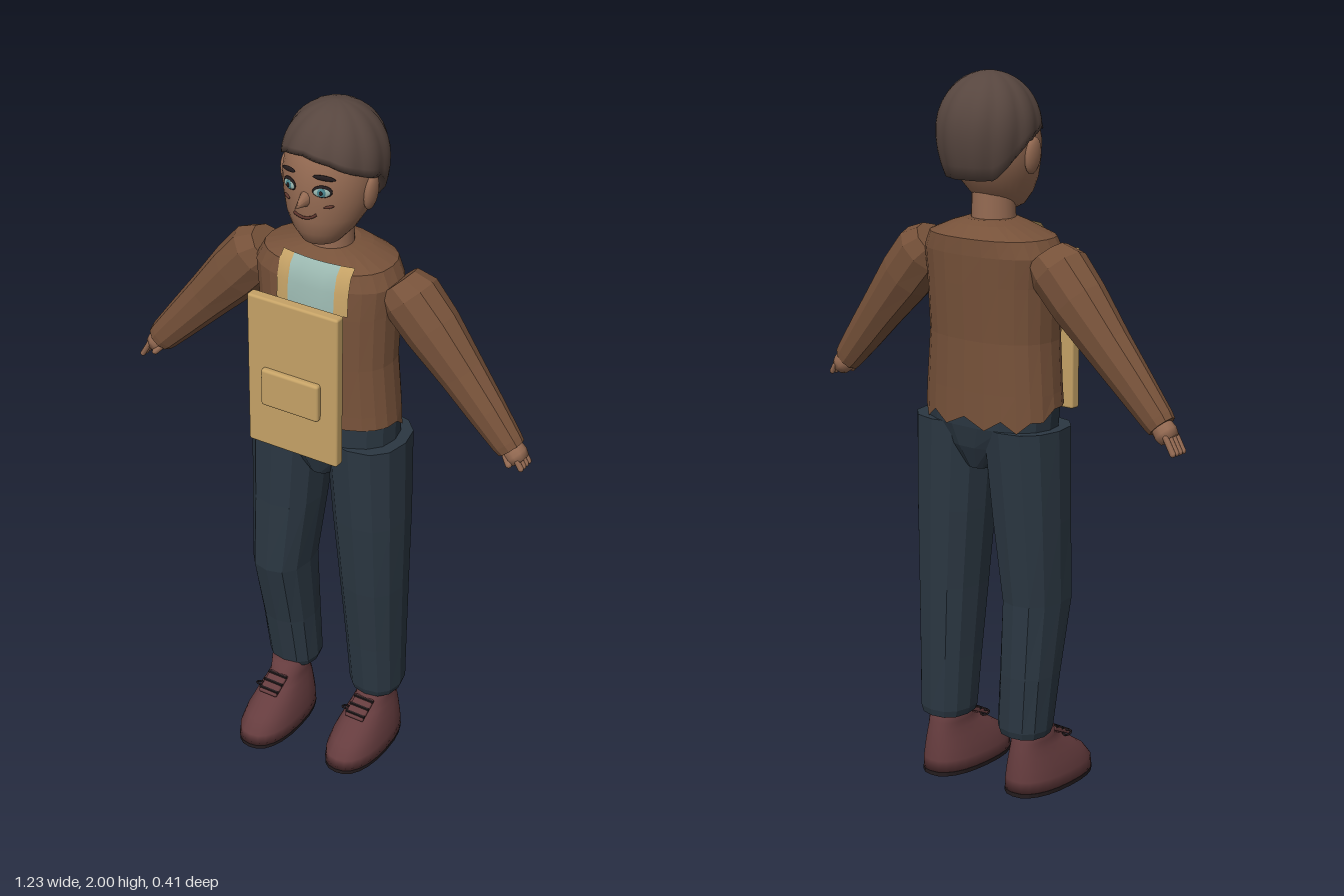
import * as THREE from 'three';
import { RoundedBoxGeometry } from 'three/addons/geometries/RoundedBoxGeometry.js';

const mat = (name, color, side = THREE.FrontSide) => {
  const m = new THREE.MeshStandardMaterial({ color, side });
  m.name = name;
  return m;
};

// Ellipse-like ring lying flat; e < 1 makes it boxier
function ring(y, cx, cz, rx, rz, n = 14, e = 0.85) {
  const pts = [];
  for (let i = 0; i < n; i++) {
    const a = (i / n) * Math.PI * 2, c = Math.cos(a), s = Math.sin(a);
    pts.push(new THREE.Vector3(
      cx + rx * Math.sign(c) * Math.abs(c) ** e, y, cz + rz * Math.sign(s) * Math.abs(s) ** e));
  }
  return pts;
}

// Skin over rings ordered from bottom to top, with optional end caps
function loft(rings, { flat = true, bottom = true, top = true } = {}) {
  const n = rings[0].length, pos = [], idx = [];
  rings.forEach(r => r.forEach(p => pos.push(p.x, p.y, p.z)));
  for (let i = 0; i < rings.length - 1; i++) {
    for (let j = 0; j < n; j++) {
      const k = (j + 1) % n, a = i * n + j, b = i * n + k, c = a + n, d = b + n;
      idx.push(a, c, b, b, c, d);
    }
  }
  const cap = (r, start, up) => {
    const m = r.reduce((s, p) => s.add(p), new THREE.Vector3()).divideScalar(n);
    const centre = pos.length / 3;
    pos.push(m.x, m.y, m.z);
    for (let j = 0; j < n; j++) {
      const a = start + j, b = start + (j + 1) % n;
      idx.push(centre, up ? b : a, up ? a : b);
    }
  };
  if (bottom) cap(rings[0], 0, false);
  if (top) cap(rings.at(-1), (rings.length - 1) * n, true);
  let g = new THREE.BufferGeometry();
  g.setAttribute('position', new THREE.Float32BufferAttribute(pos, 3));
  g.setIndex(idx);
  if (flat) g = g.toNonIndexed();
  g.computeVertexNormals();
  return g;
}

export function createModel() {
  const model = new THREE.Group();
  const sweaterMat = mat('sweater brown', 0x77523a, THREE.DoubleSide);
  const pantsMat = mat('dark blue cloth', 0x2b3742);
  const shoeMat = mat('oxblood leather', 0x653c3e);
  const darkMat = mat('near black', 0x241c1e);
  const hairMat = mat('hair brown', 0x57463f);
  const skinMat = mat('skin', 0x946a52);
  const tanMat = mat('tan card', 0xc5a266, THREE.DoubleSide);
  const shirtMat = mat('pale teal', 0x9bb8b0, THREE.DoubleSide);
  const eyeMat = mat('eye teal', 0x4b8790);
  const lineMat = mat('dark red brown', 0x5c352c);

  const add = (name, geo, material, x = 0, y = 0, z = 0, parent = model) => {
    const m = new THREE.Mesh(geo, material);
    m.name = name;
    m.position.set(x, y, z);
    parent.add(m);
    return m;
  };
  const rings = (rows, n, e) => rows.map(r => ring(...r, n, e));

  // Sweater body, with a ragged hem that drops at the back
  const body = rings([
    [1.12, 0.02, -0.05, 0.21, 0.126], [1.16, 0.02, -0.05, 0.206, 0.125],
    [1.3, 0.018, -0.05, 0.195, 0.125], [1.45, 0.015, -0.055, 0.2, 0.13],
    [1.53, 0.012, -0.06, 0.208, 0.13], [1.575, 0.012, -0.065, 0.185, 0.125],
    [1.605, 0.018, -0.065, 0.105, 0.092], [1.615, 0.02, -0.06, 0.07, 0.07]], 24, 0.85);
  body[0].forEach((p, i) => {
    const back = Math.max(0, -Math.sin((i / 24) * Math.PI * 2));
    p.y -= Math.min(1, back * 2) * (0.03 + (i % 2) * 0.03);
  });
  add('sweater', loft(body, { bottom: false }), sweaterMat);

  // Shirt front and straps bent over the chest
  const strip = (name, x, w, zs, material) => {
    const g = new THREE.PlaneGeometry(w, 1, 4, 3), p = g.attributes.position;
    const ys = [1.597, 1.575, 1.53, 1.47];
    for (let i = 0; i < p.count; i++) {
      const r = Math.floor(i / 5), px = p.getX(i) + x;
      p.setXYZ(i, px, ys[r], [0.045, 0.066, 0.078, 0.082][r] + zs - (px - 0.034) ** 2 * 1.2);
    }
    g.computeVertexNormals();
    add(name, g, material);
  };
  strip('shirtFront', 0.034, 0.14, 0, shirtMat);
  strip('leftStrap', 0.123, 0.038, 0, tanMat);
  strip('rightStrap', -0.055, 0.038, 0, tanMat);

  // Board hung in front of the chest, with a raised pocket
  add('board', new RoundedBoxGeometry(0.275, 0.446, 0.033, 2, 0.007), tanMat, 0.033, 1.292, 0.148);
  add('pocket', new RoundedBoxGeometry(0.176, 0.11, 0.022, 2, 0.008), tanMat, 0.033, 1.256, 0.17);

  // Sleeves and hands, hanging outward from the shoulders
  for (const [side, sx, name, len, reach] of [[1, 0.25, 'left', 0.475, 0.022], [-1, -0.22, 'right', 0.49, 0.045]]) {
    const arm = new THREE.Group();
    arm.name = name + 'Arm';
    arm.position.set(sx, 1.5, -0.07);
    arm.rotation.z = side * 0.735;
    model.add(arm);
    add(name + 'Sleeve', loft(rings([
      [-len, 0, 0.012, 0.042, 0.035], [-len + 0.02, 0, 0.012, 0.046, 0.038],
      [-0.36, 0, 0.008, 0.057, 0.046], [-0.24, 0, 0.003, 0.068, 0.056],
      [-0.1, 0, 0, 0.083, 0.07], [0, 0, 0, 0.085, 0.075],
      [0.05, side * -0.01, 0, 0.066, 0.06]], 10, 1)), sweaterMat, 0, 0, 0, arm);
    add(name + 'Palm', loft(rings([
      [-len - 0.04, 0, 0.01, 0.026, 0.028], [-len - 0.02, 0, 0.01, 0.032, 0.032],
      [-len + 0.01, 0, 0.01, 0.029, 0.028]], 10, 1), { flat: false }), skinMat, 0, 0, 0, arm);
    for (let i = 0; i < 4; i++) {
      const f = add(name + 'Finger', new THREE.CapsuleGeometry(0.008, reach, 3, 8), skinMat,
        side * 0.004, -len - 0.035 - reach / 2, -0.013 + i * 0.015, arm);
      f.rotation.z = -side * 0.2;
    }
    const thumb = add(name + 'Thumb', new THREE.CapsuleGeometry(0.009, 0.025, 3, 8), skinMat,
      -side * 0.02, -len - 0.02, 0.032, arm);
    thumb.rotation.x = -0.4;
  }

  // Trousers
  add('trouserSeat', loft(rings([
    [0.935, 0.03, -0.045, 0.045, 0.085], [1.0, 0.028, -0.048, 0.12, 0.11],
    [1.06, 0.025, -0.05, 0.2, 0.12], [1.14, 0.022, -0.05, 0.205, 0.122]], 18)), pantsMat);
  add('rightTrouserLeg', loft(rings([
    [0.18, -0.103, -0.065, 0.068, 0.066], [0.2, -0.103, -0.064, 0.075, 0.073],
    [0.36, -0.11, -0.052, 0.078, 0.085], [0.57, -0.113, -0.025, 0.083, 0.105],
    [0.8, -0.1, -0.035, 0.1, 0.11], [1.06, -0.09, -0.045, 0.112, 0.12]], 12)), pantsMat);
  add('leftTrouserLeg', loft(rings([
    [0.18, 0.17, -0.078, 0.07, 0.074], [0.2, 0.17, -0.077, 0.077, 0.08],
    [0.36, 0.167, -0.07, 0.083, 0.088], [0.57, 0.163, -0.06, 0.092, 0.1],
    [0.8, 0.155, -0.055, 0.104, 0.11], [1.06, 0.145, -0.05, 0.113, 0.118]], 12)), pantsMat);

  // Shoes
  for (const [name, x, z] of [['right', -0.103, 0.04], ['left', 0.17, 0]]) {
    const shoe = new THREE.Group();
    shoe.name = name + 'Shoe';
    shoe.position.set(x, 0, z);
    model.add(shoe);
    const rows = l => l.map(([y, b, f, rx]) => ring(y, 0, (b + f) / 2, rx, (f - b) / 2, 24, 0.85));
    add(name + 'Sole', loft(rows([[0, -0.16, 0.16, 0.079], [0.012, -0.16, 0.16, 0.08]])), darkMat, 0, 0, 0, shoe);
    add(name + 'Upper', loft(rows([
      [0.012, -0.159, 0.159, 0.079], [0.045, -0.158, 0.155, 0.078], [0.08, -0.154, 0.125, 0.071],
      [0.11, -0.15, 0.08, 0.062], [0.135, -0.145, 0.035, 0.054], [0.155, -0.14, 0, 0.05],
      [0.2, -0.13, -0.01, 0.048]]), { flat: false }), shoeMat, 0, 0, 0, shoe);
    const tongue = add(name + 'Tongue', new RoundedBoxGeometry(0.06, 0.012, 0.075, 1, 0.004), shoeMat, 0, 0.147, 0.025, shoe);
    tongue.rotation.x = 0.45;
    for (let i = 0; i < 3; i++)
      add(name + 'Lace', new THREE.BoxGeometry(0.062, 0.006, 0.007), darkMat, 0, 0.165 - i * 0.012, 0.002 + i * 0.024, shoe);
    const bow = add(name + 'Bow', new THREE.TorusGeometry(0.012, 0.003, 5, 12), darkMat, -0.038, 0.14, 0.035, shoe);
    bow.rotation.x = 1.2;
  }

  // Neck, head and ears
  const hx = 0.022;
  add('neck', new THREE.CylinderGeometry(0.058, 0.062, 0.12, 20), skinMat, hx, 1.625, -0.05);
  add('head', loft(rings([
    [1.633, hx, 0, 0.028, 0.03], [1.645, hx, -0.004, 0.052, 0.056], [1.68, hx, -0.017, 0.083, 0.088],
    [1.72, hx, -0.03, 0.105, 0.11], [1.77, hx, -0.04, 0.119, 0.122], [1.82, hx, -0.045, 0.124, 0.127],
    [1.88, hx, -0.055, 0.118, 0.123], [1.94, hx, -0.06, 0.085, 0.09], [1.965, hx, -0.06, 0.04, 0.04]],
    32, 1), { flat: false }), skinMat);
  for (const s of [-1, 1]) {
    const ear = add(s > 0 ? 'leftEar' : 'rightEar', new THREE.SphereGeometry(1, 14, 10), skinMat, hx + s * 0.124, 1.785, -0.037);
    ear.scale.set(0.016, 0.05, 0.028);
    ear.rotation.z = -s * 0.12;
  }

  // Hair: fluted cap with a raised fringe and a low nape
  const n = 66, rowsCount = 12, hair = [];
  const hairRing = (t, inset) => Array.from({ length: n }, (_, j) => {
    const a = (j / n) * Math.PI * 2, s = Math.sin(a);
    const low = s > 0 ? 1.825 + 0.065 * s ** 1.5 - 0.012 * Math.cos(a) * s : 1.825 - 0.1 * Math.min(1, -s * 1.5);
    const y = low + (2 - low) * Math.sin(t * Math.PI / 2);
    const up = (y - 1.85) / 0.15;
    let r = up > 0 ? Math.sqrt(Math.max(0, 1 - up * up)) : 1 - 0.27 * up * up;
    r *= inset * (0.965 + 0.045 * Math.abs(Math.sin(a * 5.5 + t * 1.2)));
    return new THREE.Vector3(0.025 + 0.138 * r * Math.cos(a), y, -0.065 + 0.143 * r * s);
  });
  hair.push(hairRing(0.04, 0.82));
  for (let i = 0; i <= rowsCount; i++) hair.push(hairRing(i / rowsCount, 1));
  add('hair', loft(hair, { flat: false, bottom: false, top: false }), hairMat);

  // Face details laid on the curve of the face
  const faceZ = x => -0.043 + 0.126 * Math.sqrt(1 - ((x - hx) / 0.123) ** 2);
  const patch = (name, x, y, w, h, lift, material, tilt = 0) => {
    const m = add(name, new THREE.SphereGeometry(1, 14, 10), material, x, y, faceZ(x) + lift);
    m.scale.set(w, h, 0.004);
    m.rotation.set(0, Math.asin((x - hx) / 0.123), tilt, 'YXZ');
  };
  for (const s of [-1, 1]) {
    const x = hx + s * 0.048;
    patch('eyeOutline', x, 1.812, 0.026, 0.017, 0.001, darkMat);
    patch('eye', x, 1.81, 0.022, 0.012, 0.004, shirtMat);
    patch('iris', x, 1.81, 0.012, 0.012, 0.006, eyeMat);
    patch('pupil', x, 1.81, 0.005, 0.006, 0.009, darkMat);
    patch('eyebrow', x + s * 0.004, 1.849, 0.03, 0.007, 0.001, darkMat, -s * 0.15);
    patch('cheekMark', hx + s * 0.062, 1.769, 0.014, 0.004, 0, lineMat, s * 0.2);
  }
  const nose = add('nose', new THREE.ConeGeometry(0.026, 0.06, 10), skinMat, hx, 1.778, 0.1);
  nose.rotation.x = Math.PI / 2 + 0.15;
  nose.scale.set(0.7, 1, 1);
  const smile = [[-0.012, 1.735], [0.015, 1.73], [0.04, 1.735], [0.056, 1.746]]
    .map(([x, y]) => new THREE.Vector3(x, y, faceZ(x) - 0.001));
  add('mouth', new THREE.TubeGeometry(new THREE.CatmullRomCurve3(smile), 16, 0.004, 6), lineMat);

  return model;
}
